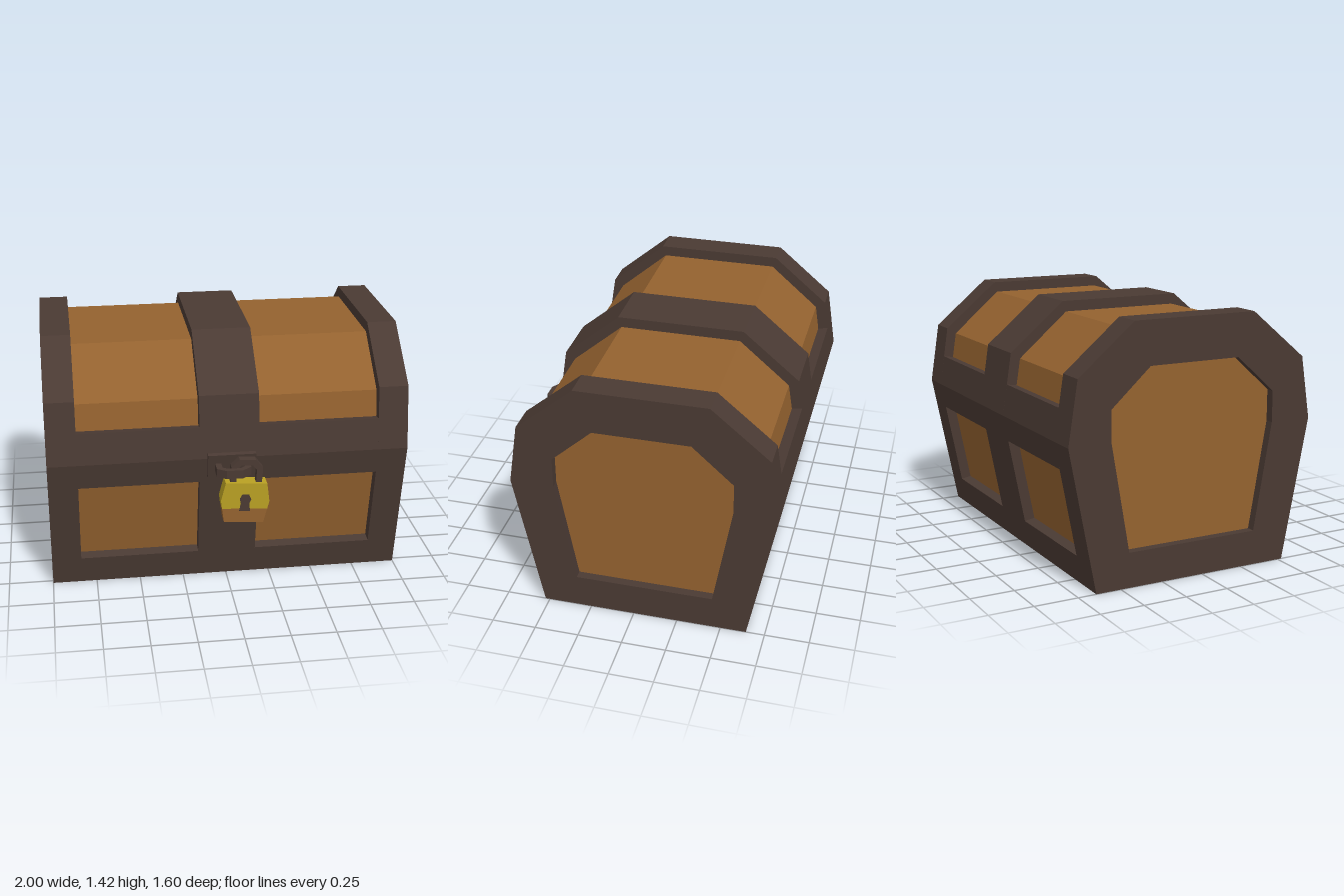
import * as THREE from 'three';

const Z = -0.06; // middle of the chest body

const mat = (name, color) => {
  const m = new THREE.MeshStandardMaterial({ color });
  m.name = name;
  return m;
};

const shapeOf = (pts) => new THREE.Shape(pts.map(([x, y]) => new THREE.Vector2(x, y)));

// Half outline [halfWidth, y], listed bottom to top, mirrored into a closed outline
const mirrored = (half) => [...half, ...half.map(([w, y]) => [-w, y]).reverse()];

// Extrude a mirrored outline across the chest from x0 to x1
function across(name, half, x0, x1, material, holeHalf) {
  const shape = shapeOf(mirrored(half));
  if (holeHalf) shape.holes.push(shapeOf(mirrored(holeHalf)));
  const geo = new THREE.ExtrudeGeometry(shape, { depth: x1 - x0, bevelEnabled: false });
  geo.rotateY(Math.PI / 2).translate(x0, 0, Z);
  const mesh = new THREE.Mesh(geo, material);
  mesh.name = name;
  return mesh;
}

// Extrude an outline facing the front, centred on z = 0
function plate(name, pts, depth, material, hole) {
  const shape = shapeOf(pts);
  if (hole) shape.holes.push(shapeOf(hole));
  const geo = new THREE.ExtrudeGeometry(shape, { depth, bevelEnabled: false });
  geo.translate(0, 0, -depth / 2);
  const mesh = new THREE.Mesh(geo, material);
  mesh.name = name;
  return mesh;
}

export function createModel() {
  const wood = mat('wood', 0x94622f);
  const dark = mat('dark frame', 0x4a3a33);
  const gold = mat('gold', 0xb9a023);

  const chest = new THREE.Group();
  chest.name = 'chest';

  const outer = [[0.585, 0], [0.74, 0.8], [0.685, 1.15], [0.362, 1.42]];
  const inner = [[0.527, 0.02], [0.68, 0.8], [0.63, 1.115], [0.343, 1.36]];
  const opening = [[0.39, 0.195], [0.495, 0.8], [0.495, 0.975], [0.267, 1.18]];
  const lowBand = [[0.585, 0], [0.617, 0.165], [0.555, 0.177]];
  const midBand = [[0.65, 0.662], [0.711, 0.65], [0.74, 0.8], [0.712, 0.975], [0.65, 0.965]];

  // Wooden body seen through all the frame openings
  chest.add(across('woodBody', inner, -0.95, 0.95, wood));

  // Frame: end frames, middle strap and the bands between them
  chest.add(across('middleStrap', outer, -0.165, 0.165, dark));
  for (const [side, s] of [['left', 1], ['right', -1]]) {
    const span = (a, b) => (s > 0 ? [a, b] : [-b, -a]);
    chest.add(across(side + 'EndFrame', outer, ...span(0.835, 1), dark, opening));
    chest.add(across(side + 'BaseBand', lowBand, ...span(0.165, 0.835), dark));
    chest.add(across(side + 'RimBand', midBand, ...span(0.165, 0.835), dark));
  }

  // Hasp: tilted plate with a staple loop
  const hasp = new THREE.Group();
  hasp.name = 'hasp';
  const haspPlate = new THREE.Mesh(new THREE.BoxGeometry(0.265, 0.152, 0.026), dark);
  haspPlate.name = 'haspPlate';
  haspPlate.position.set(0.008, 0.756, 0.68);
  haspPlate.rotation.x = 0.19;
  const staple = plate('staple',
    [[-0.085, -0.67], [0.105, -0.67], [0.105, -0.76], [0.055, -0.8], [-0.035, -0.8], [-0.085, -0.765]],
    0.048, dark,
    [[-0.052, -0.685], [0.072, -0.685], [0.072, -0.748], [0.045, -0.77], [-0.025, -0.77], [-0.052, -0.75]]);
  staple.rotation.x = -Math.PI / 2;
  staple.position.y = 0.752;
  hasp.add(haspPlate, staple);
  chest.add(hasp);

  // Padlock hanging slightly crooked from the staple
  const lock = new THREE.Group();
  lock.name = 'padlock';
  lock.position.set(0.07, 0.565, 0.7325);
  lock.rotation.z = -0.066;
  lock.add(plate('lockBody',
    [[-0.126, -0.035], [0.126, -0.035], [0.135, 0.012], [0.115, 0.118], [-0.115, 0.118], [-0.135, 0.012]],
    0.085, gold));
  lock.add(plate('lockBase', [[-0.11, -0.117], [0.11, -0.117], [0.126, -0.035], [-0.126, -0.035]], 0.085, wood));
  lock.add(plate('shackle',
    [[-0.088, 0.11], [-0.055, 0.11], [-0.055, 0.19], [-0.03, 0.218], [0.03, 0.218], [0.055, 0.19], [0.055, 0.11],
      [0.088, 0.11], [0.088, 0.205], [0.045, 0.251], [-0.045, 0.251], [-0.088, 0.205]],
    0.045, dark));
  const keyhole = plate('keyhole',
    [[-0.03, -0.048], [0.03, -0.048], [0.024, 0.0], [0.032, 0.025], [0.018, 0.053],
      [-0.018, 0.053], [-0.032, 0.025], [-0.024, 0.0]],
    0.006, dark);
  keyhole.position.z = 0.0425;
  lock.add(keyhole);
  chest.add(lock);

  return chest;
}
